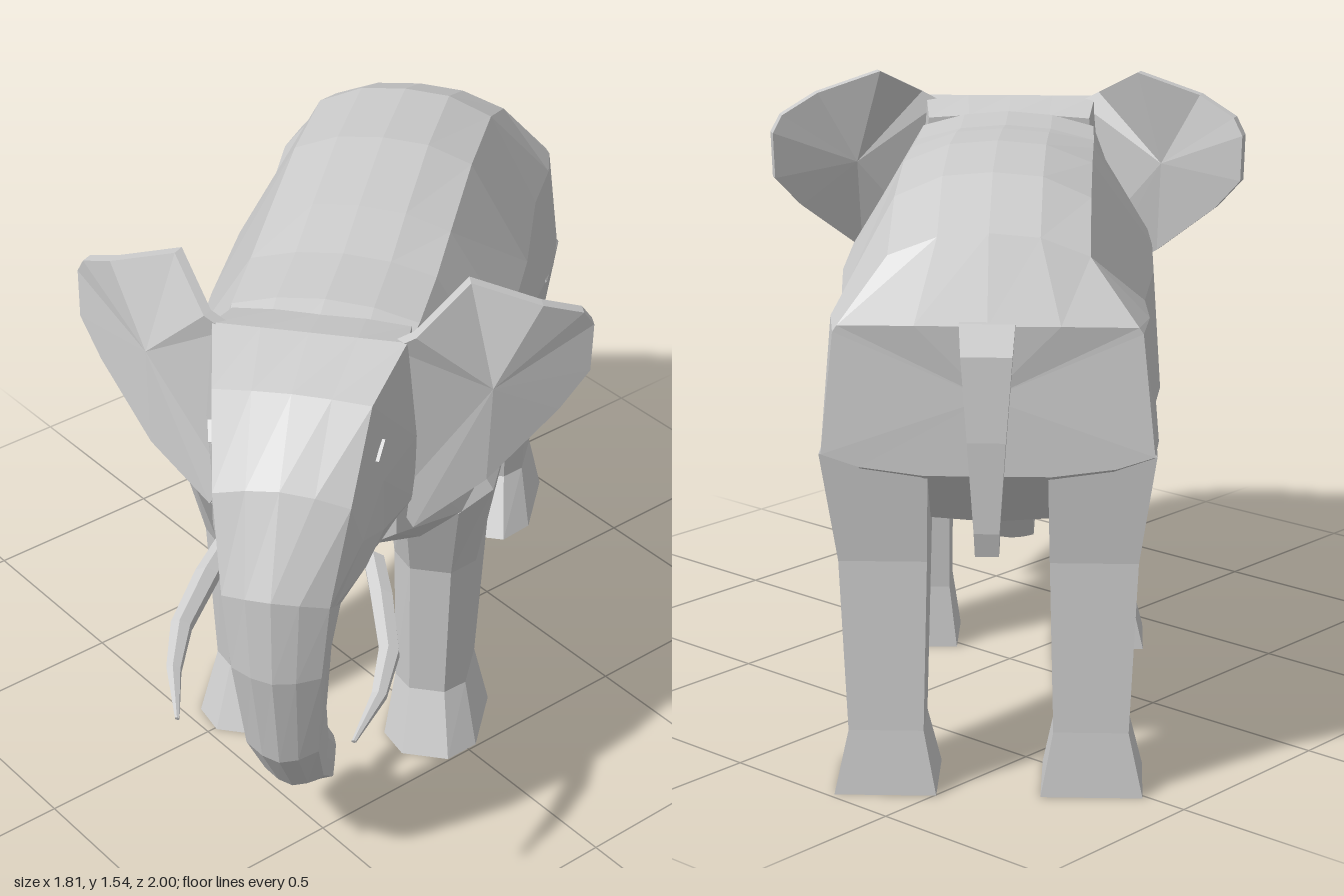
import * as THREE from 'three';

const material = new THREE.MeshStandardMaterial({ color: 0xcccccc, flatShading: true });

// Skin a list of equal-length rings (clockwise seen from the end of the loft) and close both ends with fans.
function loft(name, rings, bulge = 0) {
  const n = rings[0].length, pos = rings.flat(2), idx = [];
  for (let i = 0; i < rings.length - 1; i++) {
    for (let j = 0; j < n; j++) {
      const a = i * n + j, b = i * n + (j + 1) % n;
      idx.push(a, a + n, b, b, a + n, b + n);
    }
  }
  for (const end of [0, rings.length - 1]) {
    const c = pos.length / 3;
    for (let k = 0; k < 3; k++) {
      const mean = rings[end].reduce((s, p) => s + p[k], 0) / n;
      pos.push(mean + (k === 2 && end ? bulge : 0));
    }
    for (let j = 0; j < n; j++) {
      const a = end * n + j, b = end * n + (j + 1) % n;
      idx.push(c, end ? b : a, end ? a : b);
    }
  }
  const indexed = new THREE.BufferGeometry();
  indexed.setAttribute('position', new THREE.Float32BufferAttribute(pos, 3));
  indexed.setIndex(idx);
  const geometry = indexed.toNonIndexed();
  geometry.computeVertexNormals();
  const mesh = new THREE.Mesh(geometry, material);
  mesh.name = name;
  return mesh;
}

// Half profile from top centre to bottom centre -> full symmetric ring.
const symmetric = (half) => [
  ...half,
  ...half.slice(1, -1).reverse().map(([x, y, z]) => [-x, y, z]),
];

// The same part on both sides.
function pair(name, rings, bulge) {
  const flipped = rings.map((r) => r.map(([x, y, z]) => [-x, y, z]).reverse());
  return [loft('left' + name, rings, bulge), loft('right' + name, flipped, bulge)];
}

function body() {
  const rump = [[0, 1.16, -0.965], [0.17, 1.16, -0.96], [0.35, 1.155, -0.942], [0.36, 1.14, -0.942],
    [0.39, 0.85, -0.96], [0.3, 0.82, -0.96], [0.15, 0.8, -0.96], [0, 0.8, -0.96]];
  const hip = [[0, 1.36, -0.87], [0.12, 1.35, -0.87], [0.236, 1.306, -0.87], [0.375, 1.15, -0.82],
    [0.4, 0.85, -0.82], [0.29, 0.7, -0.8], [0.14, 0.65, -0.8], [0, 0.64, -0.8]];
  // z, spine y, back edge y, side x, lower side x, belly corner y, belly y
  const ribs = [
    [-0.64, 1.46, 1.4, 0.365, 0.382, 0.66, 0.6],
    [-0.32, 1.48, 1.425, 0.39, 0.41, 0.67, 0.57],
    [0, 1.455, 1.405, 0.39, 0.41, 0.68, 0.57],
    [0.2, 1.43, 1.39, 0.38, 0.41, 0.69, 0.6],
    [0.42, 1.43, 1.39, 0.32, 0.345, 0.76, 0.72],
    [0.64, 1.38, 1.35, 0.22, 0.22, 0.88, 0.86],
  ].map(([z, top, edge, mid, side, corner, low]) => [
    [0, top, z], [0.12, top - 0.01, z], [0.235 - Math.max(0, z - 0.4) * 0.15, edge, z], [mid, 1.15, z],
    [side, z > 0.6 ? 0.92 : 0.85, z], [side * 0.7, corner, z], [0.13, low + 0.01, z], [0, low, z],
  ]);
  return loft('body', [rump, hip, ...ribs].map(symmetric));
}

function headAndTrunk() {
  // front z, front y, back z, back y, half width, how far the front corners lie behind the middle
  const rings = [
    [0.46, 1.415, 0.5, 0.86, 0.22, 0.02],
    [0.6, 1.445, 0.58, 0.85, 0.235, 0],
    [0.8, 1.4, 0.69, 0.85, 0.19, 0.02],
    [0.94, 1.22, 0.76, 0.84, 0.165, 0.1],
    [1.05, 0.98, 0.8, 0.82, 0.13, 0.2],
    [1.05, 0.74, 0.82, 0.74, 0.11, 0.2],
    [0.99, 0.45, 0.8, 0.55, 0.09, 0.2],
    [0.85, 0.26, 0.725, 0.38, 0.075, 0.2],
    [0.67, 0.13, 0.6, 0.24, 0.065, 0.12],
  ].map(([fz, fy, bz, by, h, k], i) => {
    const cheek = i < 4 ? 1.1 : 1;
    return symmetric([[0, 0], [0.5, 0.3 * k], [1, k], [cheek, 0.45], [cheek * 0.98, 0.75],
      [0.85, 0.93], [0.5, 1], [0, 1]].map(([w, t]) => [w * h, fy + (by - fy) * t, fz + (bz - fz) * t]));
  });
  return loft('headAndTrunk', rings);
}

// Leg cross-section: square at the back, chamfered at the front.
function legRing([y, x0, x1, z0, z1]) {
  const cx = (x1 - x0) * 0.25, cz = (z1 - z0) * 0.27;
  return [[x0, y, z0], [x1, y, z0], [x1, y, z1 - cz], [x1 - cx, y, z1], [x0 + cx, y, z1], [x0, y, z1 - cz]];
}

function legs() {
  const front = [[0, 0.13, 0.38, 0.09, 0.37], [0.17, 0.15, 0.34, 0.1, 0.3],
    [0.58, 0.145, 0.36, 0.065, 0.32], [0.85, 0.135, 0.408, -0.02, 0.43], [1, 0.14, 0.3, 0, 0.38]];
  const hind = [[0, 0.125, 0.37, -0.96, -0.645], [0.16, 0.155, 0.335, -0.945, -0.74],
    [0.58, 0.145, 0.355, -0.93, -0.68], [0.85, 0.14, 0.395, -0.957, -0.64], [1, 0.15, 0.3, -0.92, -0.68]];
  return [...pair('FrontLeg', front.map(legRing)), ...pair('HindLeg', hind.map(legRing))];
}

function ears() {
  const outline = [[0.36, 1.537, 0.455], [0.53, 1.48, 0.43], [0.62, 1.43, 0.36], [0.643, 1.385, 0.335],
    [0.64, 1.26, 0.345], [0.575, 1.175, 0.4], [0.42, 1.03, 0.525], [0.255, 0.92, 0.605],
    [0.21, 1.0, 0.61], [0.2, 1.43, 0.61], [0.255, 1.46, 0.6]];
  const back = outline.map(([x, y, z]) => [x - 0.01, y, z - 0.03]);
  return pair('Ear', [back, outline], 0.03);
}

function tusks() {
  const path = [[0.18, 0.9, 0.72, 0.03], [0.215, 0.85, 0.8, 0.032], [0.255, 0.77, 0.91, 0.028],
    [0.25, 0.715, 1.01, 0.02], [0.213, 0.667, 1.13, 0.006]];
  const rings = path.map(([x, y, z, r]) => Array.from({ length: 6 }, (_, i) => {
    const a = i * Math.PI / 3;
    return [x + r * Math.sin(a), y + r * Math.cos(a), z + r * 0.4 * Math.cos(a)];
  }));
  return pair('Tusk', rings);
}

function tail() {
  const rings = [[0.62, 0.028, -1.01, -0.965], [0.68, 0.03, -1.025, -0.97], [0.9, 0.045, -1.03, -0.96],
    [1.1, 0.06, -1.015, -0.95], [1.17, 0.065, -0.98, -0.94]]
    .map(([y, h, z0, z1]) => [[-h, y, z0], [h, y, z0], [h, y, z1], [-h, y, z1]]);
  return loft('tail', rings);
}

// Narrow slanted eyelids on the sides of the head
function eyes() {
  return [1, -1].map((s) => {
    const eye = new THREE.Mesh(new THREE.BoxGeometry(0.01, 0.008, 0.055), material);
    eye.name = s > 0 ? 'leftEye' : 'rightEye';
    eye.position.set(s * 0.204, 1.25, 0.77);
    eye.rotation.set(0.85, -s * 0.15, 0);
    return eye;
  });
}

export function createModel() {
  const model = new THREE.Group();
  model.name = 'elephant';
  model.add(body(), headAndTrunk(), ...legs(), ...ears(), ...tusks(), tail(), ...eyes());
  // The animal stands turned towards its left
  model.rotation.y = 0.694;
  model.position.set(0.014, 0, -0.012);
  const root = new THREE.Group();
  root.add(model);
  return root;
}
